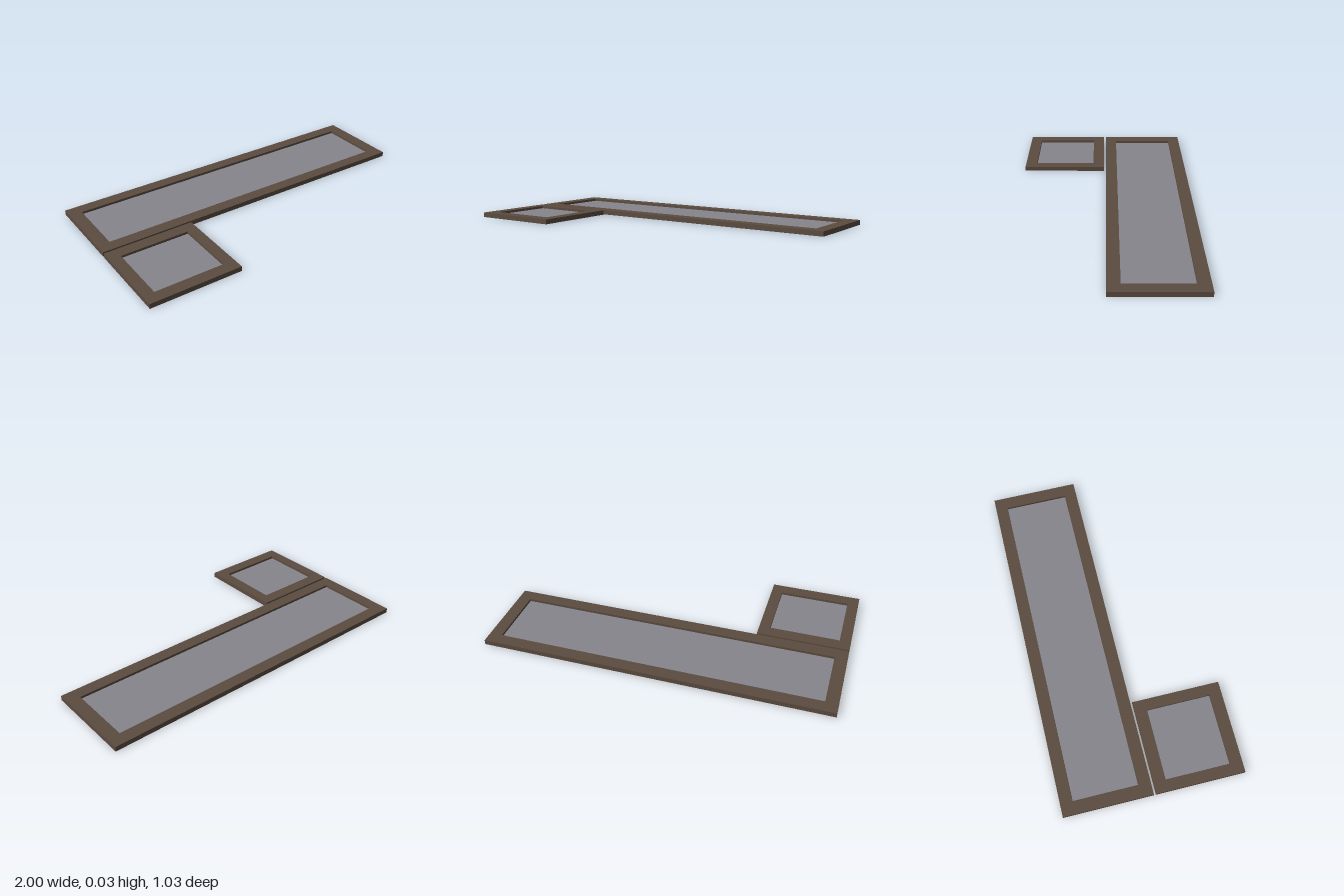
import * as THREE from 'three';

const HEIGHT = 0.028;
const frameMaterial = new THREE.MeshStandardMaterial({ color: 0x5c4c40 });
frameMaterial.name = 'dark brown frame';
const paneMaterial = new THREE.MeshStandardMaterial({ color: 0x85858c });
paneMaterial.name = 'grey pane';

// Flat rectangular frame with a thin pane recessed from both faces
function framedPanel(name, width, depth, sideBorder, endBorder) {
  const panel = new THREE.Group();
  panel.name = name;

  const w = width / 2, d = depth / 2;
  const iw = w - sideBorder, id = d - endBorder;
  const outline = new THREE.Shape([
    new THREE.Vector2(-w, -d), new THREE.Vector2(w, -d),
    new THREE.Vector2(w, d), new THREE.Vector2(-w, d),
  ]);
  outline.holes.push(new THREE.Path([
    new THREE.Vector2(-iw, -id), new THREE.Vector2(-iw, id),
    new THREE.Vector2(iw, id), new THREE.Vector2(iw, -id),
  ]));
  const frameGeometry = new THREE.ExtrudeGeometry(outline, { depth: HEIGHT, bevelEnabled: false });
  frameGeometry.rotateX(-Math.PI / 2);
  const frame = new THREE.Mesh(frameGeometry, frameMaterial);
  frame.name = 'frame';

  const pane = new THREE.Mesh(new THREE.BoxGeometry(iw * 2, 0.004, id * 2), paneMaterial);
  pane.name = 'pane';
  pane.position.y = 0.012;

  panel.add(frame, pane);
  return panel;
}

export function createModel() {
  const model = new THREE.Group();
  model.name = 'framedPanels';

  // Long panel at the back
  const longPanel = framedPanel('longPanel', 2, 0.51, 0.072, 0.071);
  longPanel.position.z = -0.261;

  // Short panel at the front, flush with the right end
  const shortPanel = framedPanel('shortPanel', 0.53, 0.51, 0.064, 0.071);
  shortPanel.position.set(-0.735, 0, 0.261);

  model.add(longPanel, shortPanel);
  return model;
}
